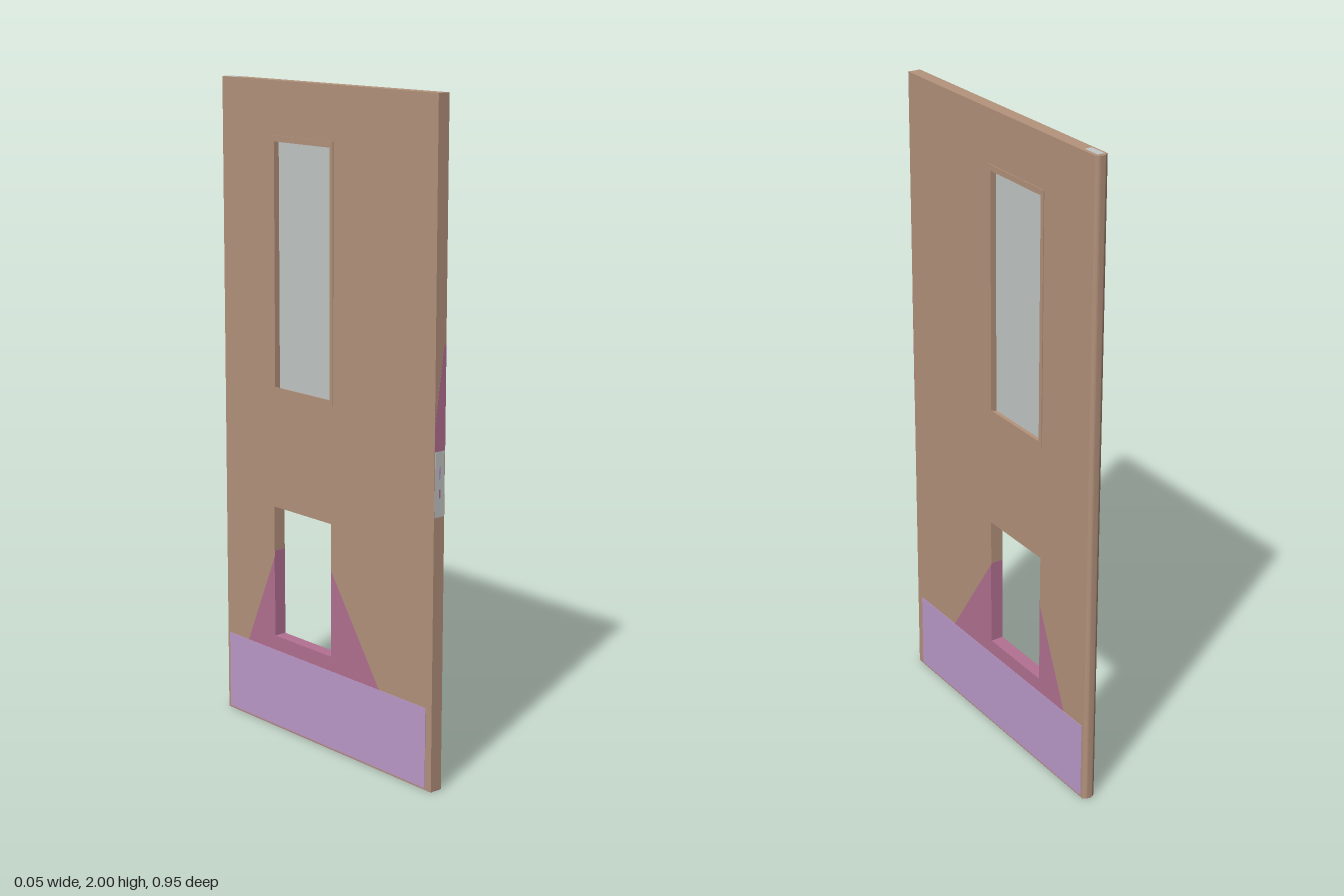
import * as THREE from 'three';
import { toCreasedNormals } from 'three/addons/utils/BufferGeometryUtils.js';

const mat = (name, color) => Object.assign(new THREE.MeshStandardMaterial({ color }), { name });

export function createModel() {
  const group = new THREE.Group();
  const wood = mat('wood', 0xb5937d);
  const purple = mat('kick plate purple', 0xbc9acb);
  const pink = mat('pink', 0xb37192);
  const grey = mat('pale grey', 0xc3c8c6);

  const add = (name, geometry, material) => {
    const mesh = new THREE.Mesh(geometry, material);
    mesh.name = name;
    group.add(mesh);
    return mesh;
  };
  // Box given by its limits on each axis
  const box = (name, material, x0, x1, y0, y1, z0, z1) =>
    add(name, new THREE.BoxGeometry(x1 - x0, y1 - y0, z1 - z0), material)
      .position.set((x0 + x1) / 2, (y0 + y1) / 2, (z0 + z1) / 2);
  const outline = (points) => new THREE.Shape(points.map(([a, b]) => new THREE.Vector2(a, b)));
  const rect = (z0, z1, y0, y1) => outline([[z0, y0], [z1, y0], [z1, y1], [z0, y1]]);
  // Sheet drawn in (z, y), with its thickness centred on x
  const sheet = (name, material, shape, x, thickness) => {
    const g = new THREE.ExtrudeGeometry(shape, { depth: thickness, bevelEnabled: false });
    g.translate(0, 0, -thickness / 2).rotateY(-Math.PI / 2);
    add(name, g, material).position.x = x;
  };

  // Door leaf with window and lower opening
  const leaf = rect(-0.465, 0.475, 0, 2);
  leaf.holes.push(rect(-0.22, 0.03, 1.08, 1.825), rect(-0.23, 0.035, 0.295, 0.71));
  sheet('doorLeaf', wood, leaf, 0, 0.04);

  // Rounded hinge edge
  const nose = new THREE.Shape();
  nose.moveTo(-0.02, 0.465);
  nose.lineTo(0.02, 0.465);
  nose.quadraticCurveTo(0, 0.485, -0.02, 0.465);
  const noseGeometry = new THREE.ExtrudeGeometry(nose, { depth: 2, bevelEnabled: false, curveSegments: 10 });
  noseGeometry.rotateX(-Math.PI / 2);
  add('roundedEdge', toCreasedNormals(noseGeometry, 0.6), wood);

  // Window pane
  box('windowPane', grey, -0.004, 0.004, 1.08, 1.825, -0.22, 0.03);

  const stain = [[0.25, 0.24], [0.25, 0.25], [0.035, 0.565], [0.035, 0.295], [-0.23, 0.295],
    [-0.23, 0.55], [-0.36, 0.25], [-0.36, 0.24]];
  for (const s of [1, -1]) {
    // Raised window trim
    const trim = rect(-0.234, 0.044, 1.07, 1.84);
    trim.holes.push(rect(-0.22, 0.03, 1.085, 1.822));
    sheet('windowTrim', wood, trim, s * 0.021, 0.003);
    // Pink panel around the opening and kick plate
    sheet('pinkPanel', pink, outline(stain), s * 0.02, 0.001);
    sheet('kickPlate', purple, rect(-0.455, 0.45, 0.005, 0.25), s * 0.0205, 0.002);
    // Kick plate screws
    for (const y of [0.02, 0.235]) {
      for (const z of [-0.44, 0, 0.435]) {
        const screw = new THREE.CylinderGeometry(0.003, 0.003, 0.001, 8).rotateZ(Math.PI / 2);
        add('screw', screw, purple).position.set(s * 0.0217, y, z);
      }
    }
  }

  // Pink lining of the lower opening and pink underside
  box('openingSill', pink, -0.02, 0.02, 0.295, 0.296, -0.23, 0.035);
  box('openingSideBack', pink, -0.02, 0.02, 0.295, 0.57, -0.23, -0.229);
  box('openingSideFront', pink, -0.02, 0.02, 0.295, 0.57, 0.034, 0.035);
  box('underside', pink, -0.02, 0.02, -0.001, 0.001, -0.465, 0.475);

  // Lock edge: pink patch, latch plate and its slots
  const patch = new THREE.ExtrudeGeometry(
    outline([[-0.02, 1.01], [0.02, 1.01], [0.02, 1.31], [0.012, 1.31], [-0.02, 1.08]]),
    { depth: 0.001, bevelEnabled: false });
  add('edgePatch', patch, pink).position.z = 0.4745;
  box('latchPlate', grey, -0.018, 0.018, 0.82, 1.01, 0.47, 0.476);
  box('boltSlot', pink, -0.003, 0.003, 0.875, 0.9, 0.475, 0.4765);
  box('latchSlot', purple, -0.003, 0.003, 0.93, 0.965, 0.475, 0.4765);

  // Pivot plate on the top edge
  box('pivotPlate', grey, -0.012, 0.01, 1.995, 2.001, -0.463, -0.405);

  return group;
}
